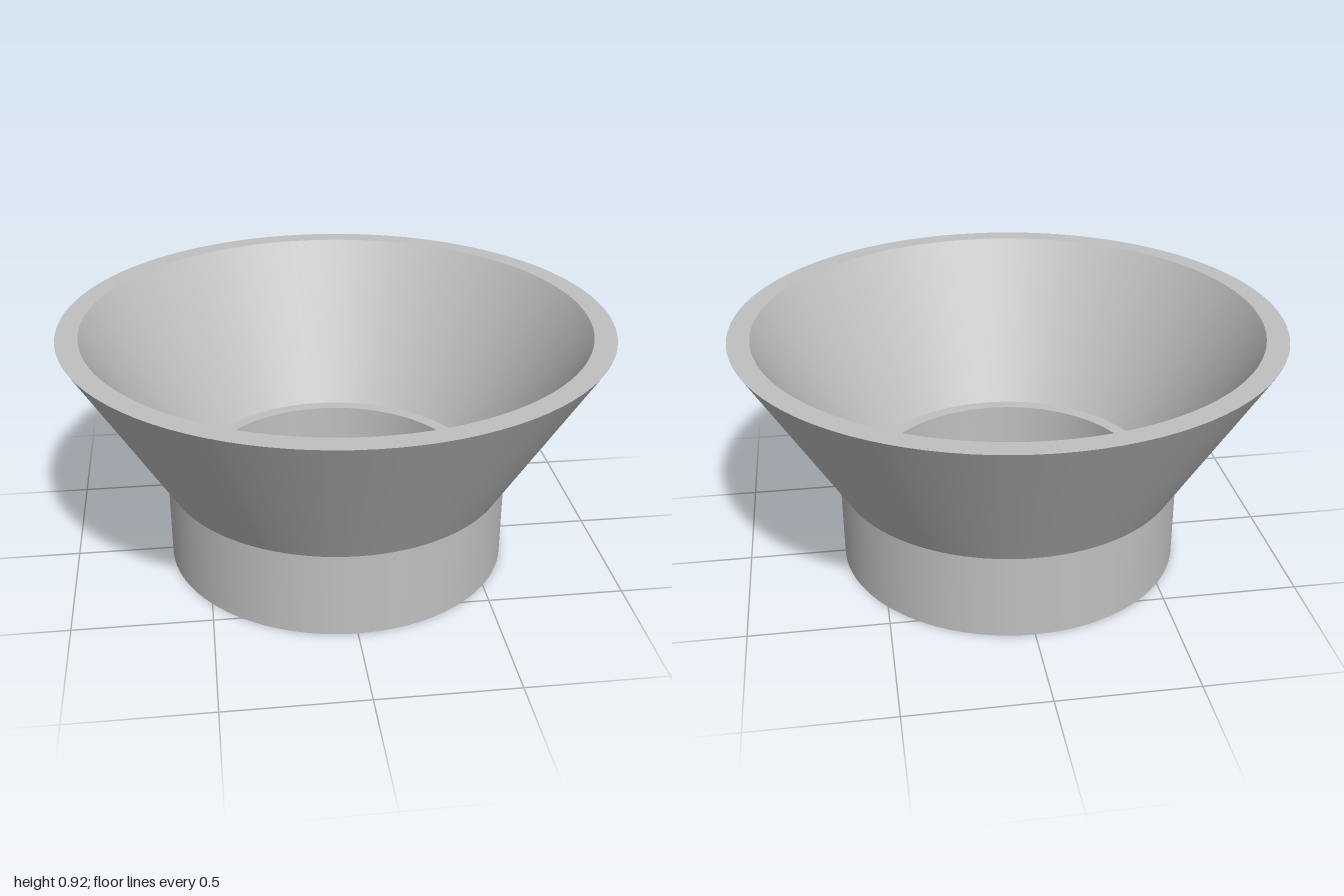
import * as THREE from 'three';
import { mergeGeometries } from 'three/addons/utils/BufferGeometryUtils.js';

const SEGMENTS = 96;

// Revolve each profile segment on its own, so edges stay sharp and walls smooth
function revolve(name, profile, material) {
  const bands = [];
  for (let i = 0; i < profile.length - 1; i++) {
    const ends = [profile[i], profile[i + 1]].map(([r, y]) => new THREE.Vector2(r, y));
    bands.push(new THREE.LatheGeometry(ends, SEGMENTS));
  }
  const mesh = new THREE.Mesh(mergeGeometries(bands), material);
  mesh.name = name;
  return mesh;
}

export function createModel() {
  const group = new THREE.Group();
  group.name = 'funnelAdapter';
  const grey = new THREE.MeshStandardMaterial({ color: 0xc0c0c0 });
  grey.name = 'light grey';

  // Collar: inner ledge, bore, underside and outer wall
  group.add(revolve('collar', [
    [0.56, 0.32], [0.507, 0.32], [0.507, 0], [0.64, 0], [0.64, 0.32],
  ], grey));

  // Flared cone: outer wall, flat rim and inner wall
  group.add(revolve('flaredCone', [
    [0.64, 0.32], [1, 0.92], [0.92, 0.92], [0.56, 0.32],
  ], grey));

  return group;
}
